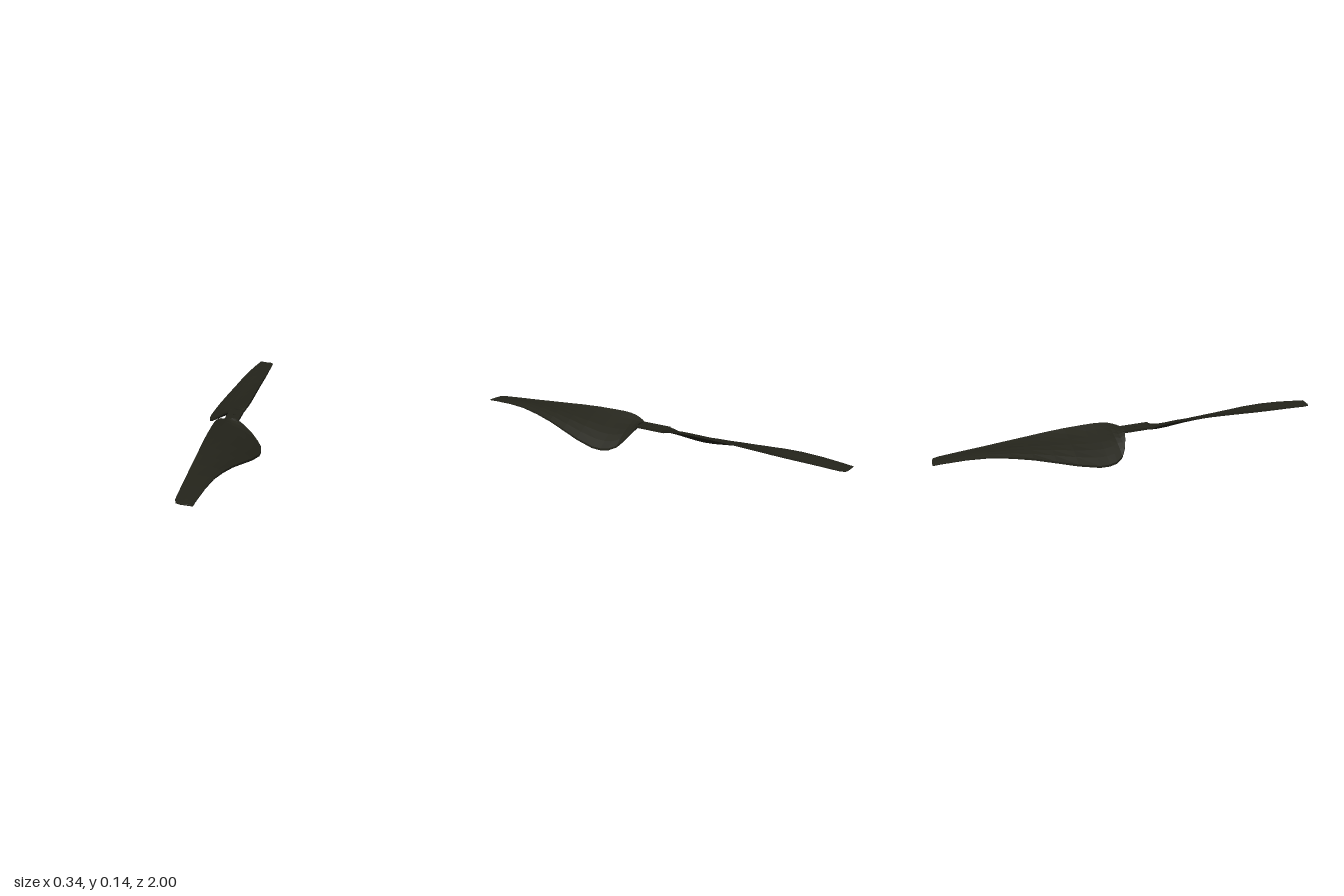
import * as THREE from 'three';

const paint = new THREE.MeshStandardMaterial({ color: 0x24241b, side: THREE.DoubleSide });
paint.name = 'dark olive';

// Blade stations: z, leading x, leading top y, trailing x, trailing bottom y, thickness
const stations = [
  [0.07, -0.035, 0.111, 0.035, 0.100, 0.011],
  [0.082, -0.040, 0.117, 0.070, 0.078, 0.012],
  [0.10, -0.045, 0.124, 0.108, 0.050, 0.012],
  [0.125, -0.051, 0.131, 0.140, 0.022, 0.013],
  [0.16, -0.055, 0.136, 0.162, 0.008, 0.013],
  [0.20, -0.056, 0.138, 0.170, 0.003, 0.013],
  [0.25, -0.056, 0.138, 0.171, 0.005, 0.013],
  [0.35, -0.055, 0.136, 0.155, 0.023, 0.013],
  [0.45, -0.053, 0.131, 0.131, 0.046, 0.012],
  [0.55, -0.050, 0.124, 0.106, 0.068, 0.011],
  [0.65, -0.048, 0.117, 0.086, 0.085, 0.010],
  [0.75, -0.045, 0.110, 0.068, 0.096, 0.008],
  [0.85, -0.042, 0.104, 0.056, 0.098, 0.006],
  [0.96, -0.038, 0.097, 0.045, 0.093, 0.005],
  [0.985, -0.031, 0.095, 0.043, 0.091, 0.004],
  [0.993, -0.010, 0.094, 0.043, 0.091, 0.004],
  [1.00, 0.040, 0.094, 0.042, 0.091, 0.003],
];

// Upper surface thickness factor from leading to trailing edge
const swell = [1, 1.05, 1.25, 1.5, 1.55, 1.3, 0.8];

function bladeGeometry() {
  const n = swell.length, ring = n * 2;
  const pos = [], index = [];
  for (const [z, lx, ly, tx, ty, th] of stations) {
    const under = (t) => [lx + (tx - lx) * t, (ly - th) + (ty - ly + th) * t];
    // along the top, then back along the flat underside
    for (let i = 0; i < n; i++) {
      const [x, y] = under(i / (n - 1));
      pos.push(x, y + th * swell[i], z);
    }
    for (let i = n - 1; i >= 0; i--) pos.push(...under(i / (n - 1)), z);
  }
  for (let s = 0; s < stations.length - 1; s++) {
    for (let i = 0; i < ring; i++) {
      const j = (i + 1) % ring;
      const a = s * ring + i, b = s * ring + j, c = a + ring, d = b + ring;
      index.push(a, c, b, b, c, d);
    }
  }
  // root and tip caps
  const last = (stations.length - 1) * ring;
  for (let i = 0; i < n - 1; i++) {
    const a = i, b = i + 1, c = ring - 2 - i, d = ring - 1 - i;
    index.push(a, b, c, a, c, d);
    index.push(last + a, last + c, last + b, last + a, last + d, last + c);
  }
  const g = new THREE.BufferGeometry();
  g.setAttribute('position', new THREE.Float32BufferAttribute(pos, 3));
  g.setIndex(index);
  const flat = g.toNonIndexed();
  flat.computeVertexNormals();
  return flat;
}

// Flat hub plate with a small shaft hole
function hubGeometry() {
  const w = 0.035, l = 0.078;
  const shape = new THREE.Shape();
  shape.moveTo(-w, -l);
  shape.lineTo(w, -l);
  shape.lineTo(w, l);
  shape.lineTo(-w, l);
  shape.closePath();
  const hole = new THREE.Path();
  hole.absarc(0, 0, 0.008, 0, Math.PI * 2, true);
  shape.holes.push(hole);
  const g = new THREE.ExtrudeGeometry(shape, { depth: 0.011, bevelEnabled: false, curveSegments: 12 });
  g.rotateX(-Math.PI / 2);
  g.translate(0, 0.1, 0);
  return g;
}

export function createModel() {
  const model = new THREE.Group();
  model.name = 'propeller';
  const rotor = new THREE.Group();
  rotor.name = 'rotor';
  rotor.rotation.x = 0.008; // slight forward tilt
  model.add(rotor);

  const hub = new THREE.Mesh(hubGeometry(), paint);
  hub.name = 'hub';
  rotor.add(hub);

  const blade = bladeGeometry();
  ['frontBlade', 'backBlade'].forEach((name, i) => {
    const mesh = new THREE.Mesh(blade, paint);
    mesh.name = name;
    mesh.rotation.y = i * Math.PI;
    rotor.add(mesh);
  });
  return model;
}
